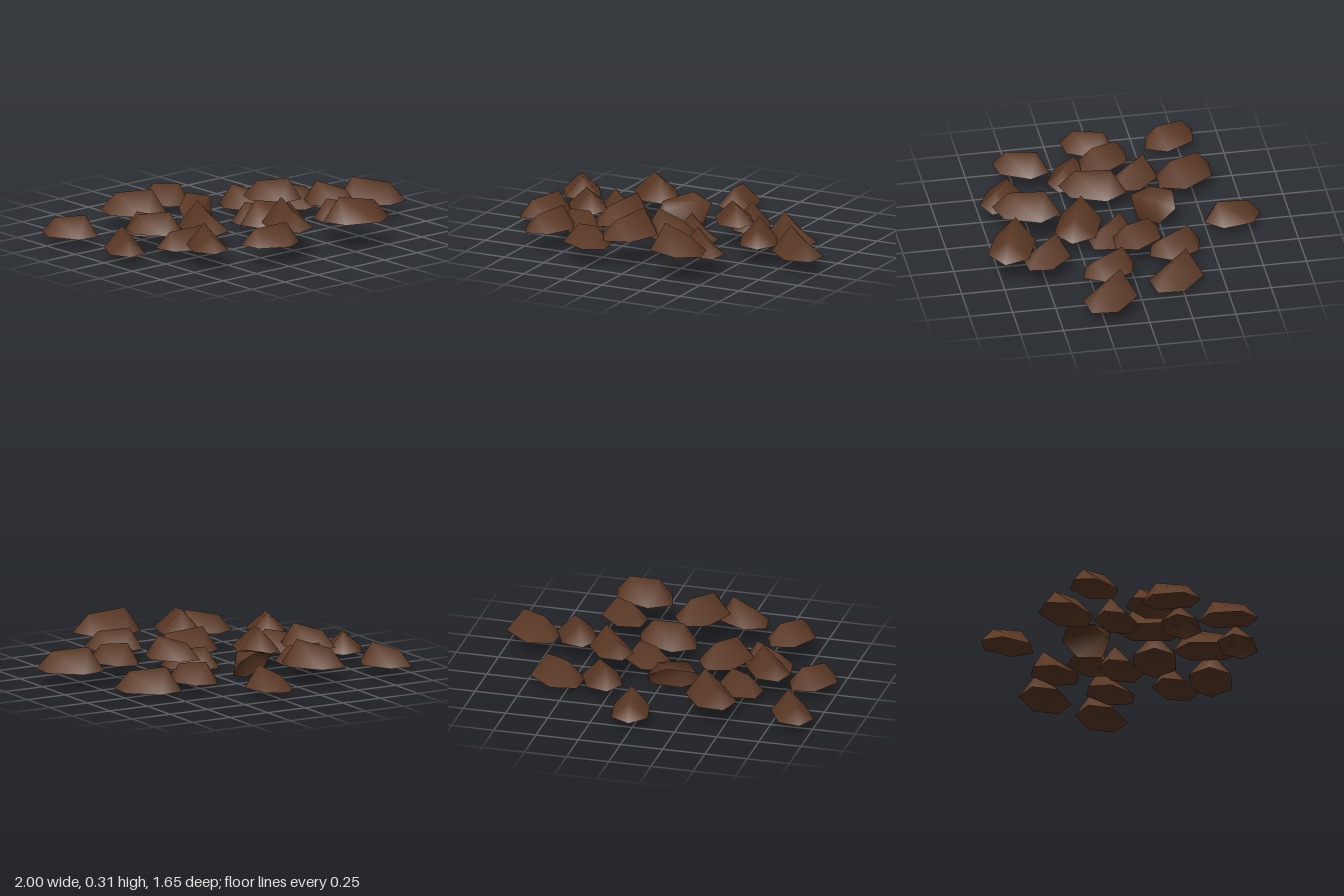
import * as THREE from 'three';

// One unit chip: a hollow, stretched hexagon shell with a sloping two-point ridge along its length.
function chipGeometry() {
  const rim = [[1, 0], [0.53, 0.6], [-0.53, 0.6], [-1, 0], [-0.53, -0.6], [0.53, -0.6]];
  const ring = rim.flatMap(([x, z]) => [x, 0, z]);
  const ridge = [0.53, 0.7, 0, -0.53, 0.53, 0];
  const geometry = new THREE.BufferGeometry();
  geometry.setAttribute('position', new THREE.Float32BufferAttribute([...ring, ...ridge], 3));
  geometry.setIndex([0, 6, 1, 1, 6, 7, 1, 7, 2, 2, 7, 3, 3, 7, 4, 4, 7, 6, 4, 6, 5, 5, 6, 0]);
  geometry.computeVertexNormals();
  return geometry;
}

// x, z, height of the rim, heading of the high end in degrees (from +x towards +z)
const SMALL = [
  [0.035, -0.655, 0.06, 79], [-0.865, -0.45, 0.06, 61], [-0.86, 0.02, 0.06, -60],
  [-0.48, -0.175, 0.06, -135], [-0.605, -0.02, 0.12, 56], [-0.55, 0.19, 0.06, 28],
  [0.31, -0.27, 0.06, -114], [0.315, -0.05, 0.155, 55], [0.13, 0.065, 0.06, -136],
  [0.575, 0.16, 0.12, -114], [-0.61, 0.455, 0.12, -63], [-0.285, 0.625, 0.12, 28],
  [0.385, 0.485, 0.12, -135],
];
const LARGE = [
  [-0.385, -0.45, 0.11, 55], [0.585, -0.23, 0.03, -138], [0.06, 0.245, 0.11, -160],
  [-0.325, 0.09, 0.11, -69], [0.845, 0.2, 0.095, -138], [-0.065, 0.52, 0.17, -69],
  [0.32, 0.675, 0.17, -159],
];

export function createModel() {
  const group = new THREE.Group();
  group.name = 'scatteredChips';
  const brown = new THREE.MeshStandardMaterial({ color: 0x5b3824, side: THREE.DoubleSide });
  brown.name = 'brown';
  const geometry = chipGeometry();

  function addChip(name, [x, z, y, heading], size) {
    const chip = new THREE.Mesh(geometry, brown);
    chip.name = name;
    chip.position.set(x, y, z);
    chip.rotation.y = -THREE.MathUtils.degToRad(heading);
    chip.scale.setScalar(size);
    group.add(chip);
    return chip;
  }

  SMALL.forEach((c, i) => addChip(`smallChip${i + 1}`, c, 0.173));
  LARGE.forEach((c, i) => addChip(`largeChip${i + 1}`, c, 0.2));

  // One chip is tipped steeply forward, resting on a rim corner
  const tipped = addChip('tippedChip', [-0.107, -0.232, 0.101, 0], 0.173);
  tipped.rotation.set(-0.77, -2.26, -0.38, 'YXZ');
  return group;
}
